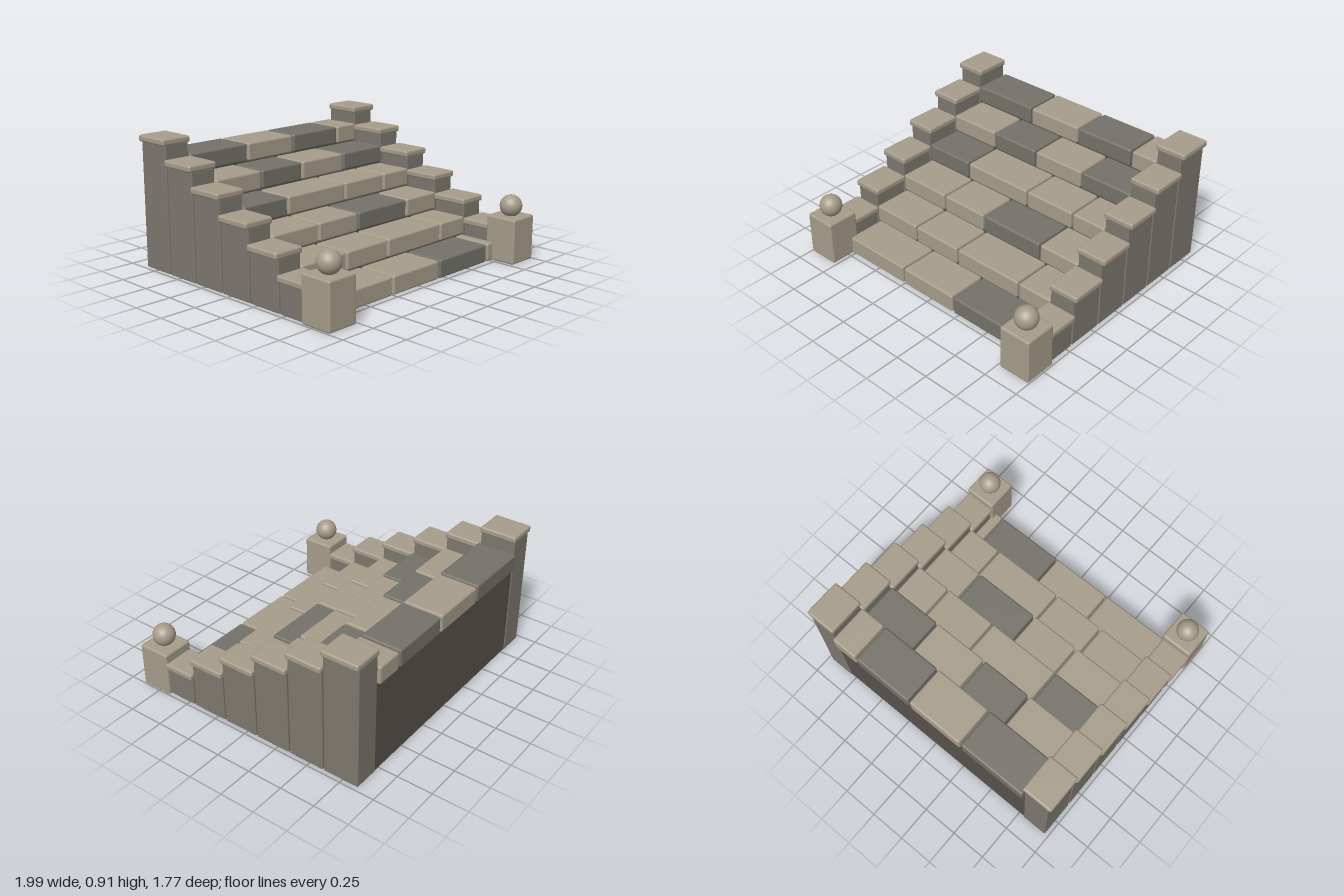
import * as THREE from 'three';
import { RoundedBoxGeometry } from 'three/addons/geometries/RoundedBoxGeometry.js';

const mat = (name, color) => new THREE.MeshStandardMaterial({ name, color });

export function createModel() {
  const group = new THREE.Group();
  const lightStone = mat('light stone', 0xa69c8a);
  const darkStone = mat('dark stone', 0x74726a);
  const wallStone = mat('wall stone', 0x7d786f);
  const mortar = mat('mortar', 0x58524c);

  const add = (name, geometry, material, x = 0, y = 0, z = 0) => {
    const mesh = new THREE.Mesh(geometry, material);
    mesh.name = name;
    mesh.position.set(x, y, z);
    group.add(mesh);
  };

  // Soft-edged block given by its limits on each axis
  const block = (name, material, [x0, x1], [y0, y1], [z0, z1], radius) =>
    add(name, new RoundedBoxGeometry(x1 - x0, y1 - y0, z1 - z0, 2, radius), material,
      (x0 + x1) / 2, (y0 + y1) / 2, (z0 + z1) / 2);

  const rise = 0.132;
  const run = 0.263;
  const front = 0.715;

  // Treads: inner joints of each course, and which of its stones are dark
  const courses = [
    { joints: [-0.255, 0.2, 0.71], dark: [2] },
    { joints: [-0.398, -0.01, 0.525], dark: [] },
    { joints: [-0.38, -0.015, 0.475], dark: [2] },
    { joints: [-0.403, 0.135, 0.525], dark: [0] },
    { joints: [-0.395, -0.02, 0.385], dark: [1, 3] },
    { joints: [-0.285, 0.14, 0.59], dark: [0, 2] },
  ];
  courses.forEach(({ joints, dark }, i) => {
    const xs = [-0.79, ...joints, 0.795];
    const z = front - i * run;
    for (let k = 0; k < 4; k++) {
      block('treadStone', dark.includes(k) ? darkStone : lightStone,
        [xs[k] + 0.007, xs[k + 1] - 0.007],
        [i * rise, i * rise + 0.126], [z - 0.285, z], 0.014);
    }
  });

  // Stepped core under the treads
  const profile = new THREE.Shape();
  profile.moveTo(-0.86, 0.002);
  for (let i = 1; i < courses.length; i++) {
    const z = front - i * run - 0.015;
    profile.lineTo(z, i === 1 ? 0.002 : (i - 1) * rise);
    profile.lineTo(z, i * rise);
  }
  profile.lineTo(-0.86, 5 * rise);
  const core = new THREE.ExtrudeGeometry(profile, { depth: 1.59, bevelEnabled: false });
  core.rotateY(-Math.PI / 2);
  core.translate(0.795, 0, 0);
  add('core', core, mortar);

  // Side walls: rising piers with caps, then the end posts with balls
  for (const side of [-1, 1]) {
    const span = (a, b) => (side > 0 ? [a, b] : [-b, -a]);
    for (let i = 0; i < 6; i++) {
      const z1 = front - i * 0.264;
      const z0 = z1 - 0.267;
      const top = 0.25 + i * rise;
      block('wallPier', wallStone, span(0.79, 0.972), [0, top - 0.04], [z0 + 0.006, z1 - 0.006], 0.008);
      block('wallCap', lightStone, span(0.775, 0.995), [top - 0.046, top], [z0, z1], 0.014);
    }
    block('endPost', lightStone, span(0.768, 0.996), [0, 0.315], [0.66, 0.89], 0.014);
    add('postBall', new THREE.SphereGeometry(0.077, 24, 16), lightStone, side * 0.882, 0.379, 0.777);
  }
  return group;
}
